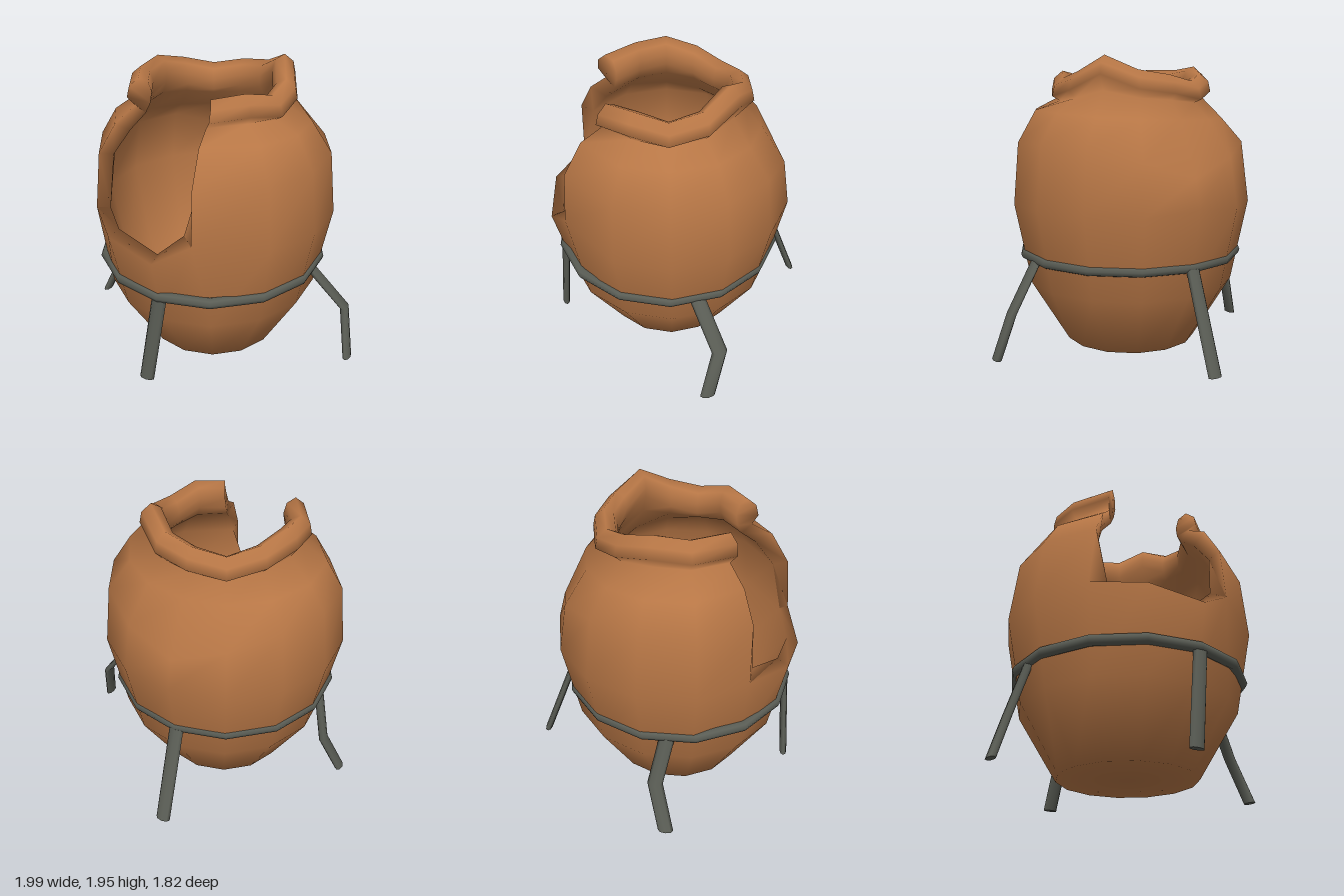
import * as THREE from 'three';

const SIDES = 14;
const CX = -0.05, CZ = 0.09;

const clay = new THREE.MeshStandardMaterial({ color: 0xb87746 });
clay.name = 'terracotta';
const iron = new THREE.MeshStandardMaterial({ color: 0x5a5d55 });
iron.name = 'dark iron';

function meshFrom(name, positions, indices, material) {
  const g = new THREE.BufferGeometry();
  g.setAttribute('position', new THREE.Float32BufferAttribute(positions, 3));
  g.setIndex(indices);
  g.computeVertexNormals();
  const mesh = new THREE.Mesh(g, material);
  mesh.name = name;
  return mesh;
}

// Closed wall profile [radius, height]: up the outside, over the rim, down the inside.
// Row i on the outside pairs with row LAST - i on the inside.
const PROFILE = [
  [0, 0.01], [0.45, 0.01], [0.705, 0.43], [0.815, 0.98], [0.78, 1.39], [0.66, 1.6],
  [0.495, 1.69], [0.545, 1.75], [0.53, 1.82], [0.47, 1.87],
  [0.41, 1.84], [0.39, 1.77], [0.4, 1.7],
  [0.43, 1.63], [0.56, 1.54], [0.685, 1.37], [0.735, 0.98], [0.63, 0.45], [0.4, 0.1], [0, 0.08],
];
const LAST = PROFILE.length - 1;
const BREAK = 3;                                   // row where the broken opening starts
// Angles of the two broken edges, from the break row up to the rim
const EDGES = {
  1: { outer: [17.7, 18, 20, 23, 25, 26, 26], inner: [13, 20, 23, 24, 25, 26, 26] },
  12: { outer: [-51, -49, -48, -48, -47, -46, -46], inner: [-44, -50, -52, -49, -47, -46, -46] },
};
// The broken edges bend inwards a little
const EDGE_INSET = [0.035, 0.03, 0.03, 0, 0, 0, 0];
// Uneven heights around the pot, one value per column from the front
const RIM_TOP = [1.87, 1.84, 1.86, 1.81, 1.85, 1.95, 1.86, 1.83, 1.79, 1.84, 1.89, 1.87, 1.87, 1.87];
const BREAK_Y = { 0: 0.9, 1: 1.04, 7: 1.01, 12: 1.0, 13: 0.96 };

function potVertex(row, k) {
  const level = Math.min(row, LAST - row);
  const inside = row > LAST / 2;
  let [r, y] = PROFILE[row];
  let a = (k * 2 * Math.PI) / SIDES;
  if (level >= BREAK && EDGES[k]) {
    a = THREE.MathUtils.degToRad(EDGES[k][inside ? 'inner' : 'outer'][level - BREAK]);
    r -= EDGE_INSET[level - BREAK];
  }
  const back = Math.max(0, -Math.cos(a));
  const side = Math.max(0, -Math.sin(a));
  // The sill rises slightly towards the inside
  if (level === BREAK) y = (BREAK_Y[k] ?? y) + (inside ? 0.03 : 0);
  if (level === 4) { y -= 0.19 * back ** 8; r -= 0.015 * back + 0.012 * side; }
  if (level === 5) { y -= 0.05 * back + 0.03 * side; r -= 0.06 * back; }
  if (level >= 6) y += (RIM_TOP[k] - 1.87) * (level === 6 ? 0.5 : 1);
  return [CX + r * Math.sin(a), y, CZ + r * Math.cos(a)];
}

// Thick-walled pot with a rolled lip and a broken front
function makePot() {
  const positions = [], indices = [];
  for (let i = 0; i <= LAST; i++)
    for (let k = 0; k < SIDES; k++) positions.push(...potVertex(i, k));
  const id = (i, k) => i * SIDES + (k % SIDES);
  const quad = (a, b, c, d) => indices.push(a, b, c, a, c, d);
  const inGap = (k) => k >= 12 || k === 0;

  for (let i = 0; i < LAST; i++)
    for (let k = 0; k < SIDES; k++) {
      if (inGap(k) && i >= BREAK && i < LAST - BREAK) continue;
      quad(id(i, k), id(i, k + 1), id(i + 1, k + 1), id(i + 1, k));
    }
  // Sill of the opening
  for (const k of [12, 13, 0])
    quad(id(BREAK, k), id(BREAK, k + 1), id(LAST - BREAK, k + 1), id(LAST - BREAK, k));
  // Upright broken edges
  for (let i = BREAK; i < LAST / 2 - 1; i++) {
    quad(id(i, 1), id(i + 1, 1), id(LAST - i - 1, 1), id(LAST - i, 1));
    quad(id(LAST - i, 12), id(LAST - i - 1, 12), id(i + 1, 12), id(i, 12));
  }
  return meshFrom('brokenPot', positions, indices, clay);
}

// Flat bar through points listed from top to bottom, with oval level sections
function makeLeg(name, points, halfX, halfZ) {
  const n = 8, positions = [], indices = [];
  const loop = ([x, y, z]) => {
    for (let j = 0; j < n; j++) {
      const a = (j * 2 * Math.PI) / n;
      positions.push(x + halfX * Math.sin(a), y, z + halfZ * Math.cos(a));
    }
  };
  points.forEach(loop);
  for (let i = 0; i < points.length - 1; i++)
    for (let j = 0; j < n; j++) {
      const a = i * n + j, b = i * n + ((j + 1) % n);
      indices.push(a + n, b + n, b, a + n, b, a);
    }
  // End caps with their own vertices
  const top = positions.length / 3;
  loop(points[0]);
  loop(points[points.length - 1]);
  for (let j = 1; j < n - 1; j++) {
    indices.push(top, top + j, top + j + 1);
    indices.push(top + n, top + n + j + 1, top + n + j);
  }
  return meshFrom(name, positions, indices, iron);
}

export function createModel() {
  const model = new THREE.Group();
  model.name = 'brokenPotOnStand';
  model.add(makePot());

  const stand = new THREE.Group();
  stand.name = 'stand';

  // Hoop around the pot
  const hoopGeometry = new THREE.TorusGeometry(0.736, 0.036, 8, SIDES);
  hoopGeometry.rotateX(Math.PI / 2).rotateY(Math.PI / 2);
  const hoop = new THREE.Mesh(hoopGeometry, iron);
  hoop.name = 'hoop';
  hoop.position.set(CX, 0.634, 0.1);
  stand.add(hoop);

  // Four legs
  stand.add(
    makeLeg('frontLeg', [[-0.045, 0.63, 0.835], [-0.14, 0, 0.88]], 0.052, 0.025),
    makeLeg('backLeg', [[-0.055, 0.63, -0.645], [-0.06, 0, -0.885]], 0.05, 0.025),
    makeLeg('leftLeg', [[0.67, 0.63, 0.09], [0.895, 0.325, -0.005], [0.968, 0, 0.09]], 0.026, 0.052),
    makeLeg('rightLeg', [[-0.77, 0.63, 0.09], [-0.855, 0.3, 0.02], [-0.974, 0, 0.1]], 0.026, 0.05),
  );
  model.add(stand);
  return model;
}
